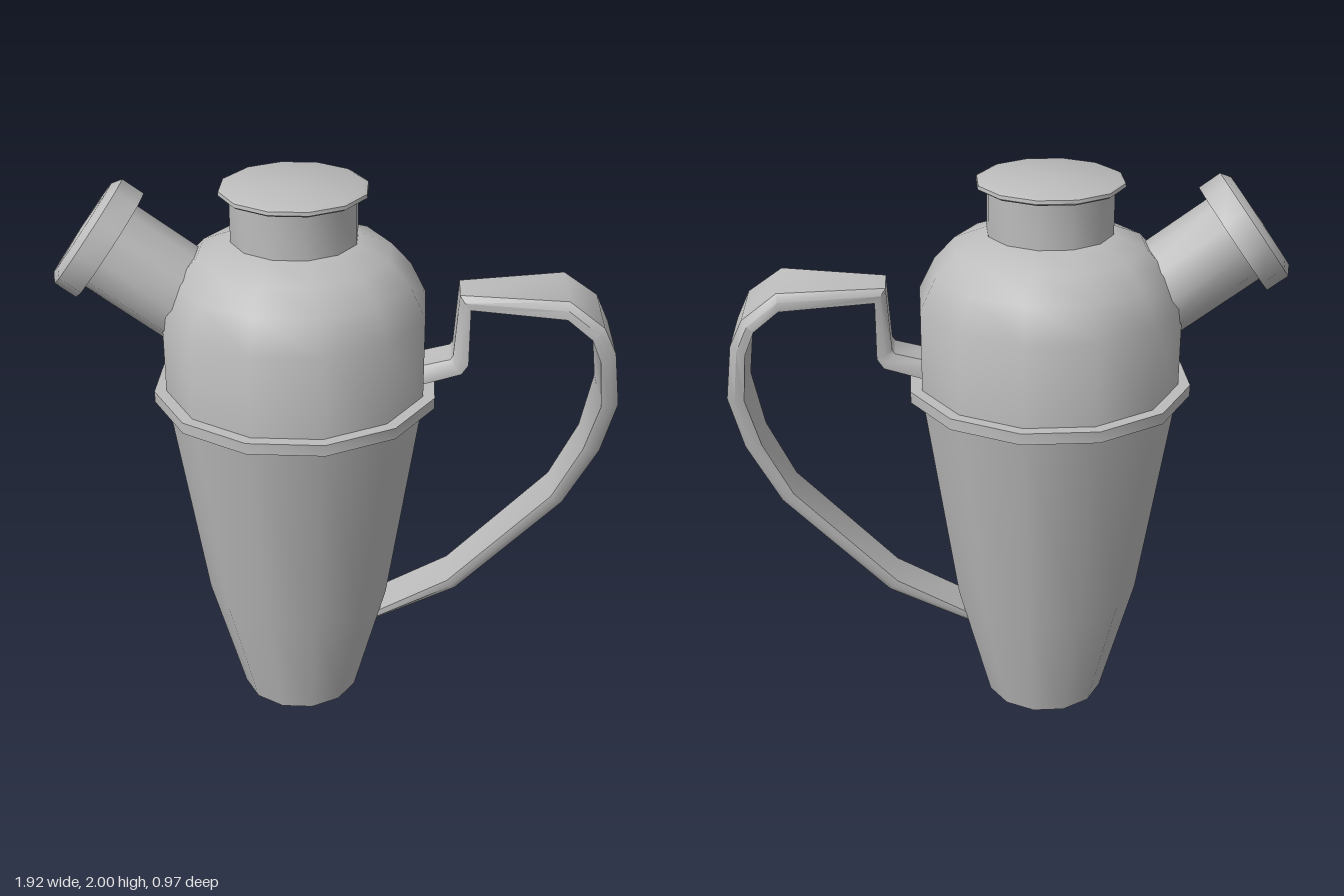
import * as THREE from 'three';
import { toCreasedNormals } from 'three/addons/utils/BufferGeometryUtils.js';

const CENTER_X = -0.147;

export function createModel() {
  const group = new THREE.Group();
  group.name = 'cocktailShaker';
  const metal = new THREE.MeshStandardMaterial({ color: 0xbcbcbc });
  metal.name = 'grey metal';

  const add = (name, geometry, crease = 0.7) => {
    const mesh = new THREE.Mesh(toCreasedNormals(geometry, crease), metal);
    mesh.name = name;
    group.add(mesh);
    return mesh;
  };

  // Twelve-sided turned part; profile radii are measured to the flat sides
  const turned = (name, profile) => {
    const k = 1 / Math.cos(Math.PI / 12);
    const geometry = new THREE.LatheGeometry(profile.map(([r, y]) => new THREE.Vector2(r * k, y)), 12);
    geometry.rotateY(Math.PI / 12);
    add(name, geometry).position.x = CENTER_X;
  };
  turned('cup', [[0, 0], [0.21, 0], [0.327, 0.46], [0.441, 1.25]]);
  turned('rimRing', [[0.42, 1.25], [0.483, 1.25], [0.483, 1.29], [0.42, 1.29]]);
  turned('shoulder', [[0.443, 1.27], [0.443, 1.58], [0.39, 1.69], [0.32, 1.77], [0.212, 1.815], [0.19, 1.817]]);
  turned('neck', [[0.21, 1.8], [0.21, 1.98]]);
  turned('lid', [[0.19, 1.975], [0.235, 1.973], [0.245, 1.98], [0.243, 1.992], [0.23, 1.999], [0, 2]]);

  // Tilted ten-sided spout with its cap
  const spoutPart = (name, profile) => {
    const geometry = new THREE.LatheGeometry(profile.map(([r, y]) => new THREE.Vector2(r, y)), 10);
    const mesh = add(name, geometry, 0.8);
    mesh.position.set(-0.773, 1.772, 0);
    mesh.rotation.z = 0.955;
  };
  spoutPart('spout', [[0.163, -0.45], [0.163, 0.01]]);
  spoutPart('spoutCap', [[0.14, 0], [0.21, 0], [0.21, 0.085], [0.178, 0.108], [0, 0.112]]);

  add('handle', handleGeometry(), 0.75);
  return group;
}

// Handle strap: outer edge, inner edge and half width at each bend
function handleGeometry() {
  const stations = [
    [0.25, 1.37, 0.25, 1.305, 0.085],
    [0.385, 1.405, 0.425, 1.36, 0.085],
    [0.395, 1.42, 0.448, 1.395, 0.085],
    [0.41, 1.645, 0.448, 1.6, 0.088],
    [0.77, 1.657, 0.765, 1.6, 0.15],
    [0.89, 1.57, 0.85, 1.535, 0.164],
    [0.935, 1.475, 0.885, 1.45, 0.157],
    [0.964, 1.27, 0.904, 1.27, 0.125],
    [0.92, 1.07, 0.86, 1.085, 0.092],
    [0.805, 0.85, 0.762, 0.885, 0.085],
    [0.435, 0.465, 0.405, 0.51, 0.083],
    [0.138, 0.313, 0.15, 0.365, 0.083],
  ];
  // Section across the strap: [inner-to-outer fraction, side, inset]
  const section = [[0, 1, 0], [0.55, 1, 0], [1, 1, 0.022], [1, -1, 0.022], [0.55, -1, 0], [0, -1, 0]];
  const n = section.length;
  const positions = [];
  const index = [];
  for (const [ox, oy, ix, iy, w] of stations) {
    for (const [t, side, inset] of section) {
      positions.push(ix + (ox - ix) * t, iy + (oy - iy) * t, side * (w - inset));
    }
  }
  for (let i = 0; i < stations.length - 1; i++) {
    for (let j = 0; j < n; j++) {
      const a = i * n + j;
      const b = i * n + ((j + 1) % n);
      index.push(a, a + n, b + n, a, b + n, b);
    }
  }
  // End caps
  const last = (stations.length - 1) * n;
  for (let j = 1; j < n - 1; j++) {
    index.push(0, j, j + 1, last, last + j + 1, last + j);
  }
  const geometry = new THREE.BufferGeometry();
  geometry.setAttribute('position', new THREE.Float32BufferAttribute(positions, 3));
  geometry.setIndex(index);
  return geometry;
}
